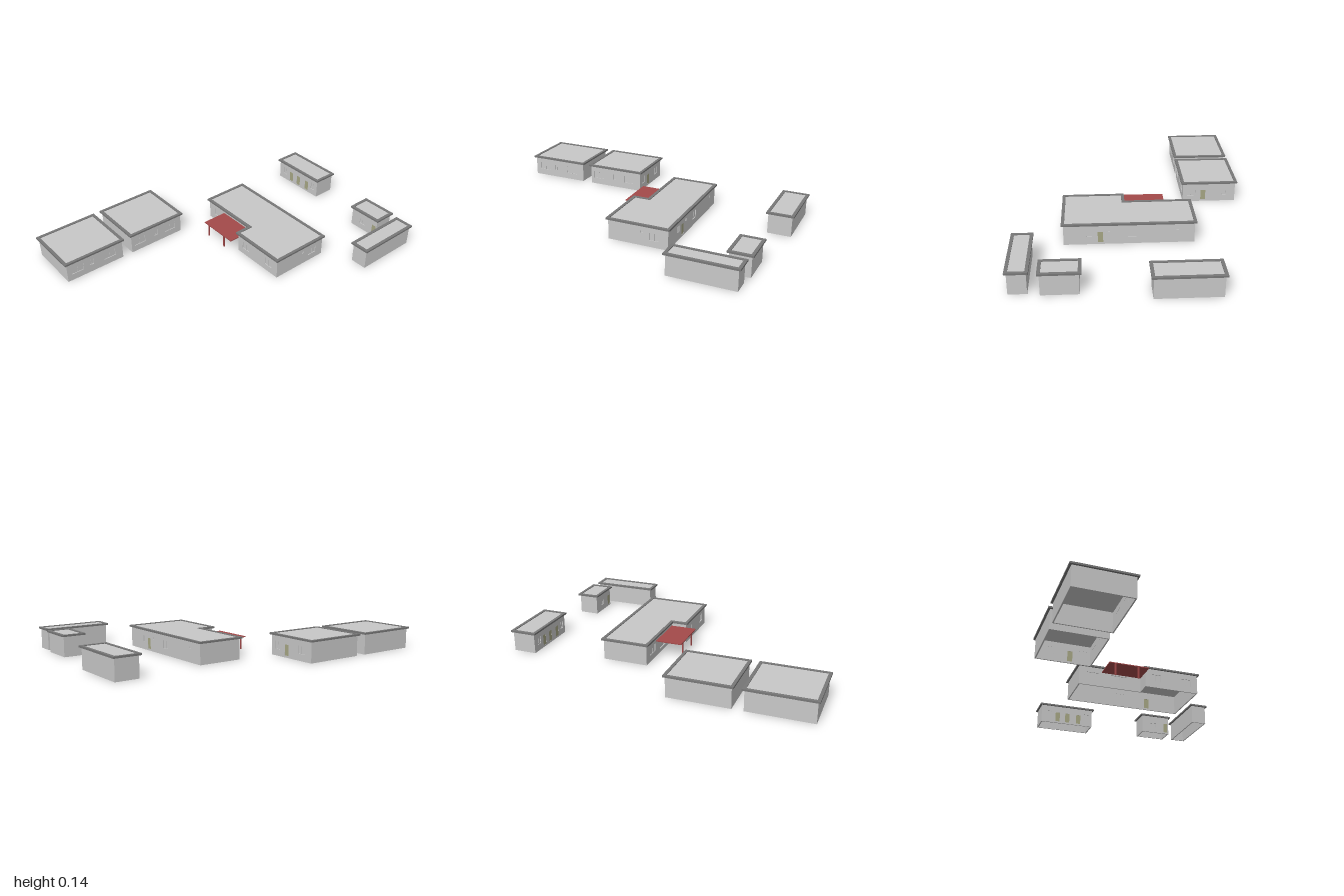
import * as THREE from 'three';

const paint = (name, hex) => {
  const m = new THREE.MeshStandardMaterial({ color: hex });
  m.name = name;
  return m;
};

const WALL_H = 0.127, WALL_T = 0.008, EAVE = 0.012, RIM = 0.019, ROOF_TOP = 0.137;

// footprints are [x, z] corners, running anticlockwise as seen from above
const rect = (x0, x1, z0, z1) => [[x0, z1], [x1, z1], [x1, z0], [x0, z0]];

// grow (or shrink) a right-angled footprint by d
function grow(points, d) {
  const n = points.length;
  return points.map(([x, z], i) => {
    let ox = 0, oz = 0;
    for (const k of [(i + n - 1) % n, i]) {
      const a = points[k], b = points[(k + 1) % n];
      ox -= Math.sign(b[1] - a[1]);
      oz += Math.sign(b[0] - a[0]);
    }
    return [x + ox * d, z + oz * d];
  });
}

const outline = (points) => points.map(([x, z]) => new THREE.Vector2(x, -z));

// flat slab from a footprint, optionally with an opening
function slab(points, y0, y1, hole) {
  const shape = new THREE.Shape(outline(points));
  if (hole) shape.holes.push(new THREE.Path(outline(hole).reverse()));
  return new THREE.ExtrudeGeometry(shape, { depth: y1 - y0, bevelEnabled: false })
    .rotateX(-Math.PI / 2).translate(0, y0, 0);
}

export function createModel() {
  const mat = {
    wall: paint('wallGrey', 0xc8c8c8),
    rim: paint('roofEdgeGrey', 0x787878),
    door: paint('doorKhaki', 0xa6a684),
    red: paint('canopyRed', 0xa34a4a),
  };
  const model = new THREE.Group();
  model.name = 'buildingComplex';

  const add = (parent, name, geometry, material, x = 0, y = 0, z = 0) => {
    const mesh = new THREE.Mesh(geometry, material);
    mesh.name = name;
    mesh.position.set(x, y, z);
    parent.add(mesh);
    return mesh;
  };

  // one wall with openings [from, to, bottom, top, kind] given in world x or z
  function wall(parent, a, b, openings) {
    const dx = b[0] - a[0], dz = b[1] - a[1], len = Math.hypot(dx, dz);
    const side = new THREE.Group();
    side.name = 'wallSide';
    side.position.set(a[0], 0, a[1]);
    side.rotation.y = Math.atan2(-dz, dx);
    parent.add(side);
    const shape = new THREE.Shape([[0, 0], [len, 0], [len, WALL_H], [0, WALL_H]].map((p) => new THREE.Vector2(...p)));
    const start = Math.abs(dx) > Math.abs(dz) ? a[0] : a[1];
    for (const [from, to, y0, y1, kind] of openings) {
      const [u0, u1] = [Math.abs(from - start), Math.abs(to - start)].sort((p, q) => p - q);
      shape.holes.push(new THREE.Path([[u0, y0], [u0, y1], [u1, y1], [u1, y0]].map((p) => new THREE.Vector2(...p))));
      const u = (u0 + u1) / 2, y = (y0 + y1) / 2, w = u1 - u0, h = y1 - y0;
      if (kind === 'door') {
        add(side, 'door', new THREE.BoxGeometry(w, h, 0.004), mat.door, u, y, -0.003);
      } else {
        add(side, kind + 'Pane', new THREE.BoxGeometry(w, h, 0.002), mat.wall, u, y, -0.006);
        if (kind === 'window') add(side, 'mullion', new THREE.BoxGeometry(0.003, h, 0.004), mat.wall, u, y, -0.004);
      }
    }
    const geo = new THREE.ExtrudeGeometry(shape, { depth: WALL_T, bevelEnabled: false }).translate(0, 0, -WALL_T);
    add(side, 'wall', geo, mat.wall);
  }

  // building open underneath, with a raised roof edge around a flat roof
  function building(name, points, openings = {}) {
    const g = new THREE.Group();
    g.name = name;
    model.add(g);
    points.forEach((p, i) => wall(g, p, points[(i + 1) % points.length], openings[i] || []));
    const outer = grow(points, EAVE), inner = grow(points, EAVE - RIM);
    add(g, 'roofEdge', slab(outer, 0.126, ROOF_TOP, inner), mat.rim);
    add(g, 'roof', slab(inner, 0.126, 0.133), mat.wall);
  }

  const win = (a, b, y0 = 0.042, y1 = 0.09) => [a, b, y0, y1, 'window'];
  const door = (a, b) => [a, b, 0.012, 0.08, 'door'];
  const vent = (a) => [a - 0.007, a + 0.007, 0.08, 0.094, 'vent'];

  // edges of a rectangle: 0 front, 1 left (+x), 2 back, 3 right (-x)
  building('frontHall', rect(-0.703, -0.357, 0.597, 0.988), {
    1: [win(0.955, 0.875), win(0.835, 0.805, 0.05), win(0.73, 0.65)],
  });
  building('secondHall', rect(-0.703, -0.357, 0.145, 0.528), {
    1: [win(0.505, 0.425), win(0.355, 0.325, 0.05), win(0.27, 0.19)],
    2: [win(-0.385, -0.44), door(-0.475, -0.507), win(-0.59, -0.645)],
  });
  building('backBlock', rect(-0.443, -0.067, -0.988, -0.842), {
    0: [win(-0.405, -0.37), door(-0.34, -0.308), door(-0.268, -0.236),
      door(-0.185, -0.153), win(-0.125, -0.09)],
  });
  building('smallShed', rect(0.317, 0.527, -0.922, -0.795), {
    0: [win(0.385, 0.427, 0.04, 0.072), door(0.488, 0.52)],
  });
  building('longShed', rect(0.594, 0.698, -0.905, -0.497));

  // L-shaped main building
  building('mainBuilding', [[-0.362, -0.112], [0.055, -0.112], [0.055, -0.012],
    [0.418, -0.012], [0.418, -0.397], [-0.362, -0.397]], {
    0: [win(-0.31, -0.225), win(-0.148, -0.03, 0.023, 0.088)],
    2: [win(0.098, 0.158), win(0.308, 0.37)],
    3: [vent(-0.23), win(-0.28, -0.34)],
    4: [win(0.28, 0.25, 0.05), door(0.215, 0.183), vent(0.148), win(0.035, -0.02), vent(-0.26)],
  });

  // entrance canopy on two posts
  const canopy = new THREE.Group();
  canopy.name = 'canopy';
  model.add(canopy);
  add(canopy, 'canopyRoof', slab(rect(-0.21, 0.056, -0.112, 0.053), 0.097, 0.103), mat.red);
  for (const x of [-0.169, -0.015]) {
    add(canopy, 'canopyPost', new THREE.BoxGeometry(0.009, 0.082, 0.007), mat.red, x, 0.058, 0.049);
  }
  return model;
}
